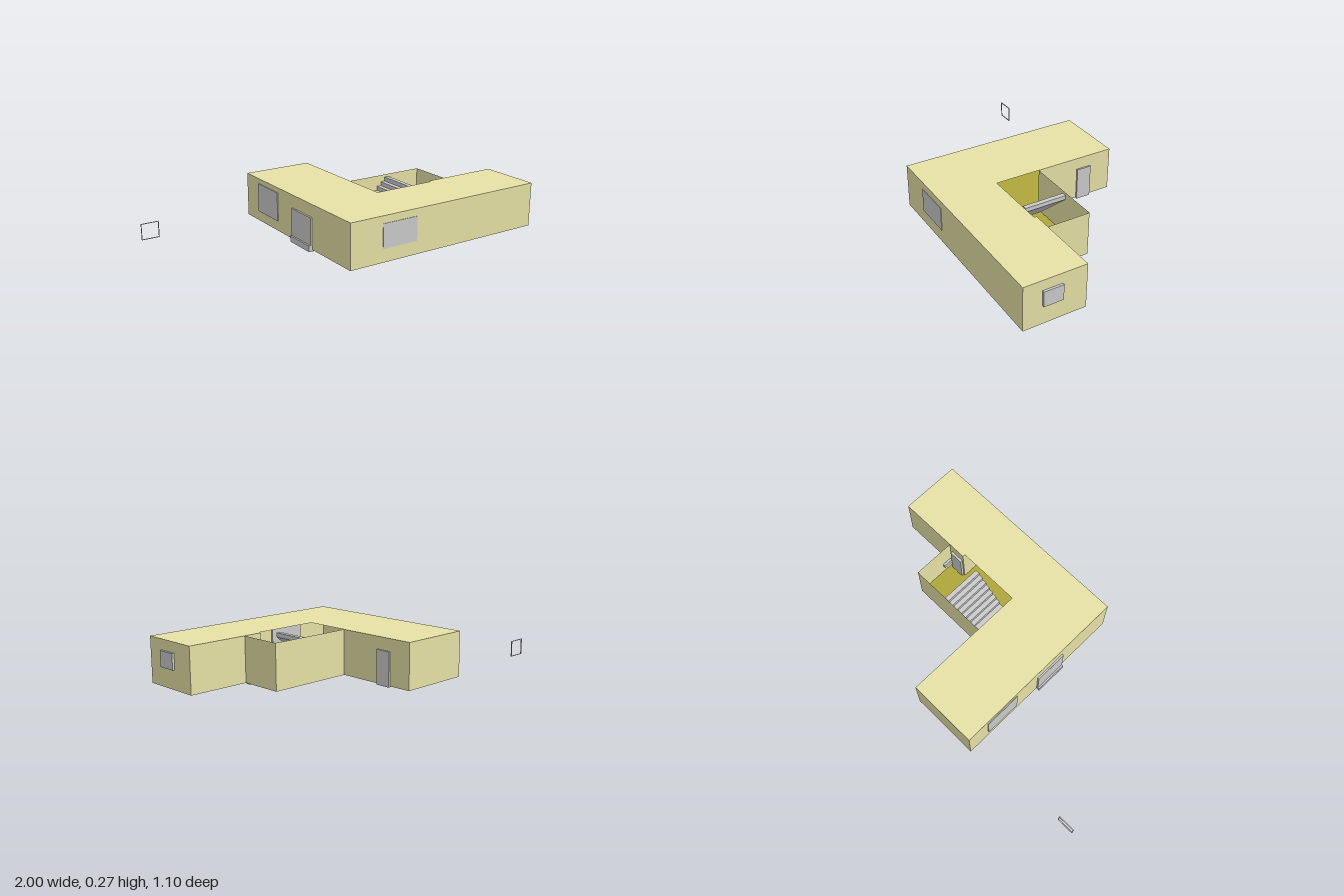
import * as THREE from 'three';

const wallMat = new THREE.MeshStandardMaterial({ color: 0xe6e2a6, side: THREE.DoubleSide });
const floorMat = new THREE.MeshStandardMaterial({ color: 0xafa63a, side: THREE.DoubleSide });
const greyMat = new THREE.MeshStandardMaterial({ color: 0xcccccc });

const BASE = 0.01, TOP = 0.27;

export function createModel() {
  const model = new THREE.Group();

  const add = (name, geometry, material, parent = model) => {
    const mesh = new THREE.Mesh(geometry, material);
    mesh.name = name;
    parent.add(mesh);
    return mesh;
  };

  // Box given by its limits on each axis
  const box = (name, [x0, x1], [y0, y1], [z0, z1], parent) => {
    const geometry = new THREE.BoxGeometry(x1 - x0, y1 - y0, z1 - z0);
    geometry.translate((x0 + x1) / 2, (y0 + y1) / 2, (z0 + z1) / 2);
    return add(name, geometry, greyMat, parent);
  };

  // Flat horizontal sheet from an outline of [x, z] corners
  const sheet = (name, outline, y, material) => {
    const shape = new THREE.Shape(outline.map(([x, z]) => new THREE.Vector2(x, -z)));
    add(name, new THREE.ShapeGeometry(shape).rotateX(-Math.PI / 2).translate(0, y, 0), material);
  };

  // Thin upright walls that follow a line of [x, z] points
  const walls = (name, points) => {
    const group = new THREE.Group();
    group.name = name;
    for (let i = 0; i + 1 < points.length; i++) {
      const [x0, z0] = points[i], [x1, z1] = points[i + 1];
      const geometry = new THREE.PlaneGeometry(Math.hypot(x1 - x0, z1 - z0), TOP - BASE);
      geometry.rotateY(-Math.atan2(z1 - z0, x1 - x0));
      geometry.translate((x0 + x1) / 2, (BASE + TOP) / 2, (z0 + z1) / 2);
      add('wallPanel', geometry, wallMat, group);
    }
    model.add(group);
  };

  // Floor under both wings and the stairwell
  sheet('floor', [[-0.285, 0.545], [0.985, 0.545], [0.985, 0.185], [0.63, 0.185],
    [0.63, -0.068], [0.135, -0.068], [0.135, -0.55], [-0.285, -0.55]], BASE, floorMat);

  // Roof over the two wings; the stairwell stays open
  sheet('roof', [[-0.285, 0.545], [0.985, 0.545], [0.985, 0.185], [0.52, 0.185],
    [0.52, 0.2], [0.135, 0.2], [0.135, -0.55], [-0.285, -0.55]], TOP, wallMat);

  // Outer walls run round the building, leaving the wings open to the stairwell
  walls('outerWalls', [[0.135, -0.068], [0.135, -0.55], [-0.285, -0.55], [-0.285, 0.545],
    [0.985, 0.545], [0.985, 0.185], [0.52, 0.185], [0.52, 0.2]]);
  walls('stairwellWalls', [[0.135, -0.068], [0.63, -0.068], [0.63, 0.185]]);
  walls('partitionWall', [[0.52, 0.2], [0.52, 0.545]]);

  // Stair climbing towards +x, stepped above and sloped below
  const steps = 10, x0 = 0.135, run = 0.275 / steps, rise = 0.245 / steps;
  const profile = new THREE.Shape();
  profile.moveTo(x0, BASE);
  for (let i = 0; i < steps; i++) {
    profile.lineTo(x0 + i * run, BASE + (i + 1) * rise);
    profile.lineTo(x0 + (i + 1) * run, BASE + (i + 1) * rise);
  }
  profile.lineTo(x0 + steps * run, BASE + (steps - 1) * rise);
  profile.lineTo(x0 + run, BASE);
  profile.closePath();
  const stair = new THREE.ExtrudeGeometry(profile, { depth: 0.248, bevelEnabled: false });
  add('stairs', stair.translate(0, 0, -0.066), greyMat);

  // Windows
  box('frontWindow', [-0.08, 0.145], [0.087, 0.227], [0.535, 0.548]);
  box('endWindow', [0.975, 0.998], [0.12, 0.21], [0.325, 0.437]);
  box('sideWindow', [-0.29, -0.28], [0.07, 0.24], [-0.41, -0.185]);

  // Doors and their sills
  box('sideDoor', [-0.295, -0.275], [0.005, 0.195], [-0.02, 0.18]);
  box('sideDoorSill', [-0.305, -0.27], [0, 0.035], [-0.02, 0.18]);
  box('courtDoor', [0.125, 0.145], [0.005, 0.2], [-0.415, -0.325]);
  box('stairwellDoor', [0.53, 0.615], [0.005, 0.2], [0.171, 0.2]);
  box('stairwellDoorSill', [0.53, 0.615], [0, 0.012], [0.17, 0.2]);
  box('partitionDoor', [0.51, 0.53], [0.005, 0.2], [0.315, 0.435]);
  box('partitionDoorSill', [0.503, 0.537], [0, 0.012], [0.315, 0.435]);
  box('stairSill', [0.12, 0.15], [0, 0.012], [0, 0.185]);
  box('wallFixture', [0.612, 0.626], [0.08, 0.11], [0.115, 0.18]);

  // Separate upright square frame standing off to the side
  const frame = new THREE.Group();
  frame.name = 'looseFrame';
  const zs = [-0.478, -0.472], t = 0.003;
  for (const x of [-1, -0.895 - t]) box('framePost', [x, x + t], [0.01, 0.105], zs, frame);
  for (const y of [0.01, 0.105 - t]) box('frameRail', [-1 + t, -0.895 - t], [y, y + t], zs, frame);
  model.add(frame);

  return model;
}
